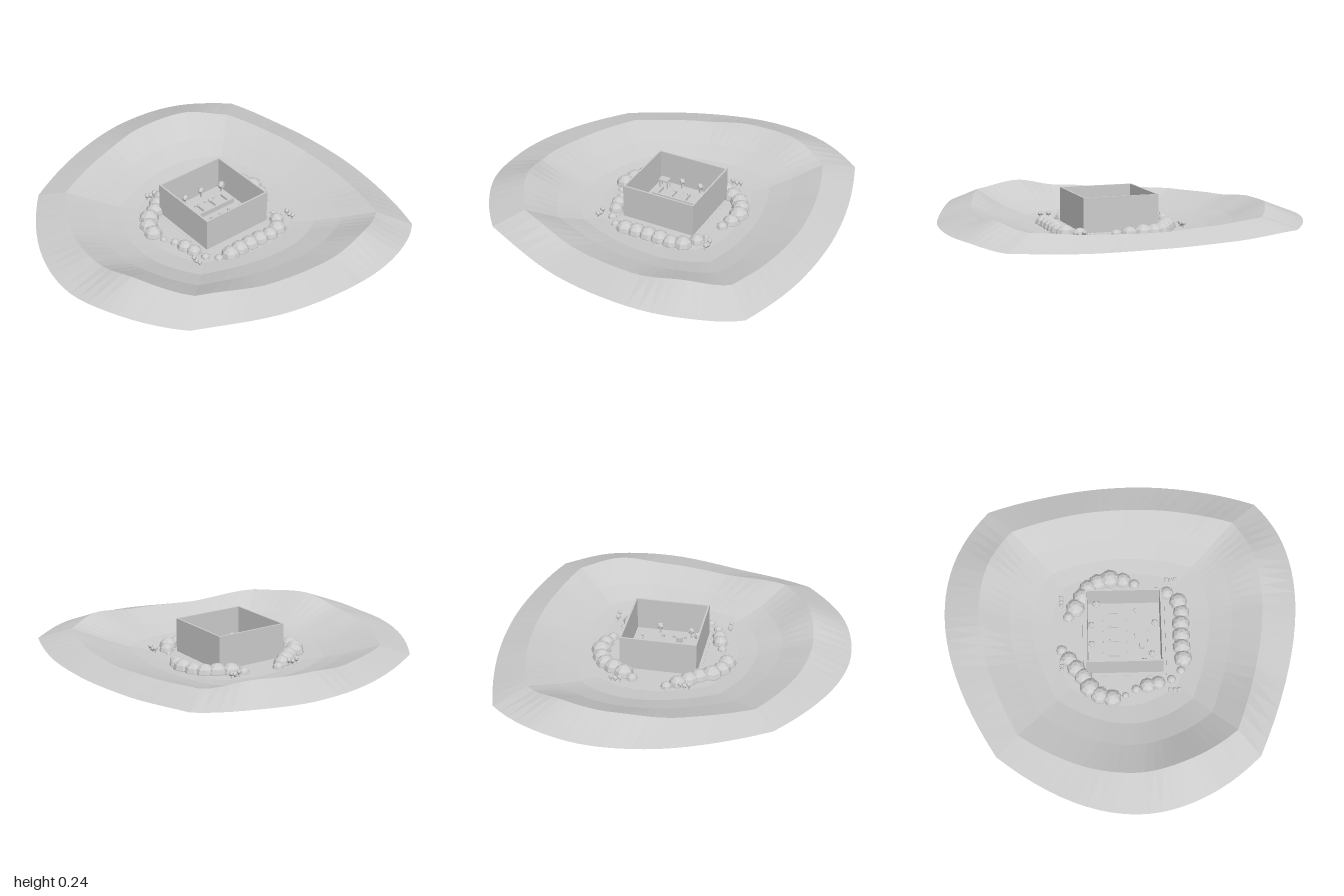
import * as THREE from 'three';

const grey = new THREE.MeshStandardMaterial({ color: 0xcccccc, flatShading: true, side: THREE.DoubleSide });
grey.name = 'plain grey';

function add(parent, name, geo, x = 0, y = 0, z = 0) {
  const m = new THREE.Mesh(geo, grey);
  m.name = name;
  m.position.set(x, y, z);
  parent.add(m);
  return m;
}
const block = (parent, name, w, h, d, x, y, z) =>
  add(parent, name, new THREE.BoxGeometry(w, h, d), x, y + h / 2, z);

// Terrain: each ring is four bowed sides, [corner, mid point] per side
const OUTER = [[-0.65, -0.7], [0.17, -1], [0.825, -0.76], [0.98, 0.05], [0.85, 0.8], [0.22, 0.995], [-0.68, 0.745], [-0.985, 0.06]];
const RIDGE = [[-0.54, -0.58], [0.15, -0.8], [0.675, -0.62], [0.81, 0.02], [0.705, 0.655], [0.2, 0.8], [-0.55, 0.62], [-0.77, 0.05]];
const OUTER_Y = [0.1, 0.1, 0.105, 0.11, 0.1, 0.085, 0.08, 0.075, 0.08, 0.1, 0.1, 0.09, 0.115, 0.125, 0.1, 0.1];
const RIDGE_Y = [0.14, 0.15, 0.18, 0.19, 0.15, 0.14, 0.13, 0.135, 0.15, 0.18, 0.15, 0.145, 0.19, 0.21, 0.16, 0.14];
const SIDE = 22, COUNT = SIDE * 4;

function ringPoint(ring, heights, j) {
  const s = Math.floor(j / SIDE) % 4, t = (j % SIDE) / SIDE;
  const a = ring[s * 2], m = ring[s * 2 + 1], b = ring[(s * 2 + 2) % 8];
  const wa = (1 - t) * (1 - 2 * t), wm = 4 * t * (1 - t), wb = t * (2 * t - 1);
  const f = ((j % COUNT) / COUNT) * 16, k = Math.floor(f), e = f - k;
  const q = e * e * (3 - 2 * e);
  const y = heights[k % 16] * (1 - q) + heights[(k + 1) % 16] * q;
  return new THREE.Vector3(a[0] * wa + m[0] * wm + b[0] * wb, y, a[1] * wa + m[1] * wm + b[1] * wb);
}

function terrainGeometry() {
  const centre = new THREE.Vector3(0.06, 0, 0);
  const inner = [[0.79, 0.095, 0.3], [0.63, 0.058, 0.08], [0.46, 0.042, 0]];
  const pos = [], index = [];
  for (let j = 0; j < COUNT; j++) {
    const ridge = ringPoint(RIDGE, RIDGE_Y, j);
    const rings = [ringPoint(OUTER, OUTER_Y, j), ridge];
    for (const [scale, y, follow] of inner) {
      const p = ridge.clone().sub(centre).multiplyScalar(scale).add(centre);
      p.y = y + (ridge.y - 0.16) * follow;
      rings.push(p);
    }
    rings.forEach(p => pos.push(p.x, p.y, p.z));
  }
  const n = 5;
  for (let j = 0; j < COUNT; j++) for (let i = 0; i < n - 1; i++) {
    const a = j * n + i, b = ((j + 1) % COUNT) * n + i;
    index.push(a, a + 1, b, b, a + 1, b + 1);
  }
  const g = new THREE.BufferGeometry();
  g.setAttribute('position', new THREE.Float32BufferAttribute(pos, 3));
  g.setIndex(index);
  g.computeVertexNormals();
  return g;
}

// Scalloped base with a square opening under the enclosure
function plinthGeometry() {
  const pts = [];
  for (let i = 0; i < 112; i++) {
    const a = (i / 112) * Math.PI * 2, c = Math.cos(a), s = Math.sin(a);
    const r = Math.pow(Math.abs(c) ** 2.7 + Math.abs(s) ** 2.7, -1 / 2.7) * (0.98 + 0.02 * Math.cos(a * 28));
    pts.push(new THREE.Vector2(0.055 + 0.425 * r * c, 0.41 * r * s));
  }
  const shape = new THREE.Shape(pts);
  const h = 0.235, cx = 0.055, cz = -0.015;
  shape.holes.push(new THREE.Path([[-h, -h], [-h, h], [h, h], [h, -h]].map(([x, y]) => new THREE.Vector2(cx + x, cz + y))));
  return new THREE.ExtrudeGeometry(shape, { depth: 0.046, bevelEnabled: false }).rotateX(-Math.PI / 2);
}

// Boulder: faceted dome with a small cap
const domeGeometry = new THREE.LatheGeometry(
  [[1, -0.3], [1, 0.15], [0.85, 0.6], [0.5, 0.92], [0.17, 1.02], [0, 1.08]].map(([x, y]) => new THREE.Vector2(x, y)), 8);

// Boulders as [x, z, radius]
const BOULDERS = [
  [-0.02, -0.34, 0.032], [-0.075, -0.3, 0.048], [-0.13, -0.26, 0.053], [-0.18, -0.22, 0.053], [-0.245, -0.185, 0.058],
  [-0.29, -0.13, 0.053], [-0.31, -0.06, 0.053], [-0.295, 0.015, 0.02], [-0.26, 0.075, 0.027], [-0.24, 0.14, 0.046],
  [-0.225, 0.2, 0.042], [-0.205, 0.275, 0.026], [0.18, -0.3, 0.032], [0.235, -0.26, 0.056], [0.3, -0.22, 0.056],
  [0.355, -0.185, 0.053], [0.39, -0.13, 0.053], [0.41, -0.06, 0.058], [0.4, 0.015, 0.048], [0.375, 0.08, 0.032],
  [-0.155, 0.33, 0.026], [-0.085, 0.345, 0.053], [-0.015, 0.34, 0.053], [0.055, 0.34, 0.053], [0.125, 0.34, 0.053],
  [0.195, 0.345, 0.048], [0.262, 0.33, 0.053], [0.315, 0.265, 0.042], [0.34, 0.205, 0.016]];

// Plant: thin stem with a faceted crown
function plant(parent, x, z, r, h, y = 0.045) {
  const g = new THREE.Group();
  g.name = 'plant';
  g.position.set(x, y, z);
  add(g, 'stem', new THREE.CylinderGeometry(r * 0.2, r * 0.3, h, 5), 0, h / 2, 0);
  add(g, 'crown', new THREE.IcosahedronGeometry(r, 0), 0, h, 0);
  parent.add(g);
}

export function createModel() {
  const model = new THREE.Group();
  model.name = 'islandCourtyard';
  add(model, 'terrain', terrainGeometry());
  add(model, 'plinth', plinthGeometry());

  const boulders = new THREE.Group();
  boulders.name = 'boulders';
  model.add(boulders);
  BOULDERS.forEach(([x, z, r], i) => {
    const b = add(boulders, 'boulder', domeGeometry, x, 0.044, z);
    b.scale.set(r, r * 0.95, r);
    b.rotation.y = i * 0.7;
  });

  // Low shrubs beyond the boulders
  const shrubs = new THREE.Group();
  shrubs.name = 'shrubs';
  model.add(shrubs);
  for (const [x, z, dx, dz] of [[-0.12, -0.34, 1, 0], [0.265, -0.34, 1, 0], [-0.275, 0.29, 0, 1], [0.39, 0.29, 0, 1]])
    for (let k = -1; k <= 1; k++) plant(shrubs, x + dx * k * 0.025, z + dz * k * 0.025, 0.015, 0.02 + 0.008 * (k & 1));

  // Open-topped enclosure
  const room = new THREE.Group();
  room.name = 'enclosure';
  room.position.set(0.055, 0, 0.015);
  model.add(room);
  const S = 0.43, T = 0.01, Y = 0.035, H = 0.203;
  block(room, 'floor', 0.468, 0.01, 0.468, 0, Y, 0);
  for (const s of [-1, 1]) {
    block(room, 'sideWall', T, H, S, s * (S - T) / 2, Y, 0);
    block(room, 'endWall', S - 2 * T, H, T, 0, Y, s * (S - T) / 2);
  }
  // Joists under the floor
  for (let i = -2; i <= 2; i++) block(room, 'joist', 0.42, 0.008, 0.012, 0, 0.027, i * 0.085);

  // Furnishings
  const fy = 0.045;
  block(room, 'longCounter', 0.34, 0.03, 0.07, 0.005, fy, -0.06);
  for (let i = -1; i <= 2; i++) block(room, 'divider', 0.005, 0.045, 0.055, -0.04 + i * 0.085, fy, -0.06);
  add(room, 'tableTop', new THREE.BoxGeometry(0.06, 0.008, 0.045), -0.15, 0.095, -0.15);
  for (const x of [-1, 1]) for (const z of [-1, 1])
    block(room, 'tableLeg', 0.006, 0.05, 0.006, -0.15 + x * 0.025, fy, -0.15 + z * 0.017);
  block(room, 'bench', 0.06, 0.015, 0.008, 0.02, fy, 0.065);
  block(room, 'crate', 0.035, 0.03, 0.025, -0.06, fy, 0.1);
  for (const [z, n] of [[-0.12, 4], [0.015, 4], [0.135, 3]])
    for (let i = 0; i < n; i++) block(room, 'stool', 0.018, 0.015, 0.008, -0.09 + i * 0.065, fy, z);
  for (const [x, z, r] of [[-0.055, -0.185, 0.02], [0.06, -0.185, 0.02], [0.185, -0.155, 0.024],
    [-0.165, 0.11, 0.022], [-0.12, 0.155, 0.02], [0.065, 0.175, 0.022], [-0.04, -0.08, 0.01], [0.04, -0.08, 0.01], [0.145, 0.065, 0.01]])
    plant(room, x, z, r, 0.045, fy);
  return model;
}
